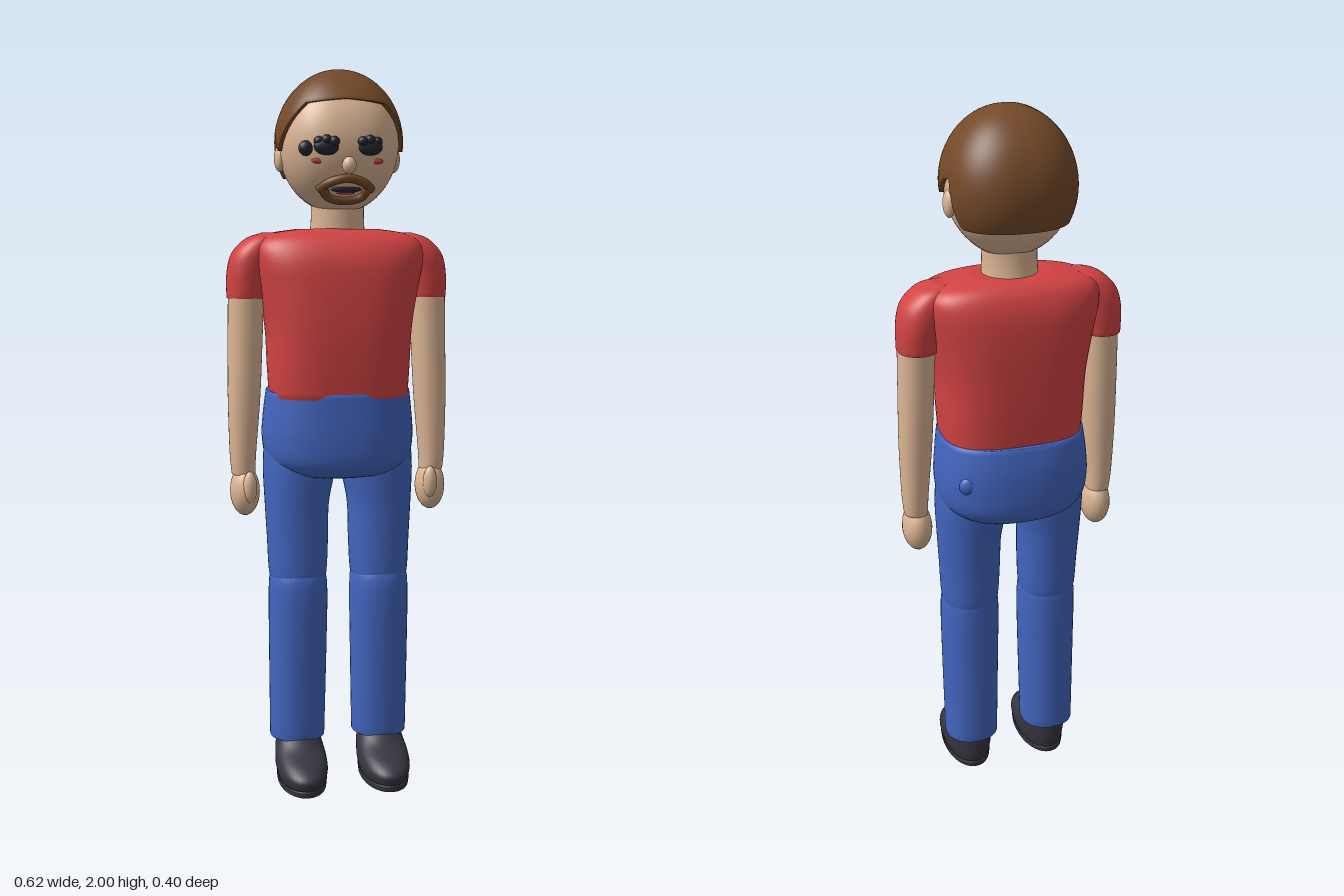
import * as THREE from 'three';

const mat = (name, color) => {
  const m = new THREE.MeshStandardMaterial({ color, side: THREE.DoubleSide });
  m.name = name;
  return m;
};

// Point on a rounded-square outline; angle 0 faces +z
const outline = (a, rx, rz, n) => {
  const s = Math.sin(a), c = Math.cos(a);
  return [rx * Math.sign(s) * Math.abs(s) ** (2 / n), rz * Math.sign(c) * Math.abs(c) ** (2 / n)];
};

// Surface from a grid of rows, each closed around the body, listed from bottom to top
function skinRows(rows) {
  const seg = rows[0].length, index = [];
  for (let j = 0; j < rows.length - 1; j++) {
    for (let i = 0; i < seg; i++) {
      const a = j * seg + i, b = j * seg + (i + 1) % seg;
      index.push(a, b, b + seg, a, b + seg, a + seg);
    }
  }
  const g = new THREE.BufferGeometry();
  g.setAttribute('position', new THREE.Float32BufferAttribute(rows.flat(2), 3));
  g.setIndex(index);
  g.computeVertexNormals();
  return g;
}

// Smooth loft through rings [y, centreX, centreZ, radiusX, radiusZ], with closed ends
function loft(rings, n = 2.2, seg = 40) {
  const centres = new THREE.CatmullRomCurve3(rings.map(r => new THREE.Vector3(r[1], r[0], r[2])), false, 'catmullrom');
  const radii = new THREE.CatmullRomCurve3(rings.map(r => new THREE.Vector3(r[3], r[4], 0)), false, 'catmullrom');
  const steps = (rings.length - 1) * 5, rows = [];
  const row = (t, k) => {
    const c = centres.getPoint(t), r = radii.getPoint(t);
    return Array.from({ length: seg }, (_, i) => {
      const [x, z] = outline(i / seg * Math.PI * 2, r.x * k, r.y * k, n);
      return [c.x + x, c.y, c.z + z];
    });
  };
  rows.push(row(0, 0), row(0, 0.97));
  for (let i = 0; i <= steps; i++) rows.push(row(i / steps, 1));
  rows.push(row(1, 0.97), row(1, 0));
  return skinRows(rows);
}

// Skull shape, optionally grown outward for the hair
const HEAD = { y: 1.8, z: -0.012, rx: 0.163, rz: 0.165, n: 2.4 };
const headScale = (y, grow) => Math.sqrt(Math.max(0, 1 - ((y - HEAD.y) / ((y > HEAD.y ? 0.188 : 0.186) + grow)) ** 2));
const headPoint = (a, y, grow = 0) => {
  const k = headScale(y, grow);
  const [x, z] = outline(a, (HEAD.rx + grow) * k, (HEAD.rz + grow) * k, HEAD.n);
  return [x, y, HEAD.z + z];
};
const onFace = (x, y, out = 0) => {
  const k = headScale(y, 0);
  const z = HEAD.rz * k * (1 - Math.abs(x / (HEAD.rx * k)) ** HEAD.n) ** (1 / HEAD.n);
  return new THREE.Vector3(x, y, HEAD.z + z + out);
};

// Hair edge height by angle from the front: fringe, sideburn, ear notch, nape
const EDGE = [[0, 1.91], [42, 1.9], [56, 1.865], [70, 1.82], [81, 1.78], [91, 1.825], [103, 1.835], [109, 1.75], [115, 1.71], [180, 1.71]];
function hairEdge(a) {
  const d = Math.abs(a > Math.PI ? a - 2 * Math.PI : a) * 180 / Math.PI;
  const i = Math.max(1, EDGE.findIndex(e => e[0] >= d - 1e-6));
  const [a0, y0] = EDGE[i - 1], [a1, y1] = EDGE[i];
  return y0 + (y1 - y0) * (d - a0) / (a1 - a0);
}

export function createModel() {
  const model = new THREE.Group();
  const skin = mat('skin', 0xdcb594), red = mat('shirt red', 0xd24343), blue = mat('trouser blue', 0x4265bf);
  const brown = mat('hair brown', 0x744928), dark = mat('shoe charcoal', 0x363540), black = mat('eye black', 0x23252e);
  const blush = mat('cheek red', 0xc8433f);

  const add = (name, geometry, material, parent = model) => {
    const m = new THREE.Mesh(geometry, material);
    m.name = name;
    parent.add(m);
    return m;
  };
  const ball = (name, p, r, material, parent = model) => {
    const m = add(name, new THREE.SphereGeometry(1, 24, 16), material, parent);
    m.position.set(...p);
    m.scale.set(...r);
    return m;
  };

  // Head and neck
  const SEG = 120;
  const around = f => Array.from({ length: SEG }, (_, i) => f(i / SEG * Math.PI * 2));
  const headRows = [];
  for (let j = 0; j <= 32; j++) {
    const y = 1.801 - 0.187 * Math.cos(j / 32 * Math.PI);
    headRows.push(around(a => headPoint(a, y)));
  }
  add('head', skinRows(headRows), skin);
  add('neck', loft([[1.53, 0, -0.03, 0.08, 0.075], [1.6, 0, -0.025, 0.074, 0.07], [1.68, 0, -0.025, 0.075, 0.07]], 2), skin);

  // Hair cap, with a rim turned in to the skull
  const hairRows = [around(a => headPoint(a, hairEdge(a), -0.004)), around(a => headPoint(a, hairEdge(a), 0.009))];
  for (let j = 24; j >= 0; j--) {
    const t = (j / 24) ** 2;
    hairRows.push(around(a => headPoint(a, 2 - (2 - hairEdge(a)) * t, 0.012)));
  }
  add('hair', skinRows(hairRows), brown);

  // Face
  ball('nose', [0, 1.737, 0.158], [0.019, 0.023, 0.02], skin);
  for (const s of [-1, 1]) {
    ball('ear', [s * 0.16, 1.762, -0.025], [0.016, 0.036, 0.026], skin);
    ball('eye', onFace(s * 0.058, 1.785).toArray(), [0.034, 0.022, 0.013], black);
    for (let i = -1; i <= 1; i++) {
      ball('eyelash', onFace(s * 0.058 + i * 0.02, 1.803 - Math.abs(i) * 0.004, 0.003).toArray(), [0.014, 0.013, 0.012], black);
    }
    ball('cheekBlush', onFace(s * 0.08, 1.749).toArray(), [0.017, 0.007, 0.004], blush);
  }
  ball('outerEyelash', onFace(-0.11, 1.782, 0.002).toArray(), [0.02, 0.02, 0.016], black);

  // Beard: a moustache arch, a chin strip and the mouth between
  const strand = pts => new THREE.CatmullRomCurve3(pts.map(p => onFace(p[0], p[1], 0.001)));
  add('moustache', new THREE.TubeGeometry(strand([[-0.072, 1.676], [-0.045, 1.694], [0, 1.705], [0.045, 1.694], [0.072, 1.676]]), 30, 0.012, 10), brown);
  add('beard', new THREE.TubeGeometry(strand([[-0.062, 1.68], [-0.045, 1.657], [0, 1.648], [0.045, 1.657], [0.062, 1.68]]), 30, 0.013, 10), brown);
  ball('mouth', onFace(0, 1.676).toArray(), [0.042, 0.009, 0.006], black);
  ball('lowerLip', onFace(0, 1.667, 0.002).toArray(), [0.026, 0.005, 0.006], blush);

  // Shirt and hips
  add('shirt', loft([
    [1.11, 0, -0.02, 0.194, 0.15], [1.2, 0, -0.02, 0.199, 0.157], [1.3, 0, -0.02, 0.204, 0.161],
    [1.4, 0, -0.022, 0.22, 0.16], [1.48, 0, -0.024, 0.236, 0.154], [1.53, 0, -0.028, 0.234, 0.136],
    [1.558, 0, -0.032, 0.195, 0.112], [1.572, 0, -0.034, 0.11, 0.085]], 2.9, 56), red);
  add('hips', loft([
    [0.882, 0, -0.03, 0.1, 0.1], [0.895, 0, -0.032, 0.16, 0.14], [0.93, 0, -0.033, 0.202, 0.163],
    [0.99, 0, -0.033, 0.214, 0.168], [1.06, 0, -0.032, 0.21, 0.166], [1.125, 0, -0.027, 0.202, 0.159]], 2.5, 56), blue);
  ball('pocketBulge', [0.15, 1.02, -0.152], [0.03, 0.028, 0.018], blue);

  // Limbs, mirrored left and right
  for (const s of [-1, 1]) {
    const limb = new THREE.Group();
    limb.name = s > 0 ? 'leftLimbs' : 'rightLimbs';
    model.add(limb);
    const part = (name, rings, material, n) => add(name, loft(rings.map(([y, x, ...r]) => [y, s * x, ...r]), n), material, limb);

    part('sleeve', [
      [1.383, 0.257, -0.03, 0.054, 0.066], [1.45, 0.251, -0.03, 0.059, 0.073], [1.505, 0.237, -0.028, 0.059, 0.073],
      [1.545, 0.212, -0.028, 0.045, 0.06], [1.562, 0.19, -0.03, 0.02, 0.03]], red);
    part('arm', [
      [0.89, 0.271, -0.014, 0.033, 0.04], [0.95, 0.272, -0.015, 0.037, 0.045], [1.1, 0.267, -0.018, 0.045, 0.052],
      [1.25, 0.262, -0.022, 0.048, 0.056], [1.42, 0.257, -0.025, 0.05, 0.058]], skin);
    ball('hand', [s * 0.268, 0.842, -0.01], [0.042, 0.071, 0.057], skin, limb);
    ball('thumb', [s * 0.258, 0.858, 0.036], [0.02, 0.045, 0.019], skin, limb);

    part('thigh', [
      [0.565, 0.118, -0.013, 0.07, 0.078], [0.6, 0.118, -0.014, 0.082, 0.087], [0.7, 0.118, -0.016, 0.087, 0.092],
      [0.8, 0.119, -0.019, 0.091, 0.098], [0.9, 0.112, -0.022, 0.102, 0.106], [0.98, 0.11, -0.025, 0.1, 0.106]], blue);
    part('shin', [
      [0.112, 0.121, -0.02, 0.079, 0.079], [0.25, 0.12, -0.016, 0.081, 0.083], [0.4, 0.119, -0.012, 0.083, 0.087],
      [0.54, 0.118, -0.01, 0.084, 0.09], [0.6, 0.118, -0.012, 0.078, 0.085], [0.64, 0.118, -0.014, 0.055, 0.06]], blue);

    part('sole', [[0, 0.12, 0.06, 0.068, 0.136], [0.018, 0.12, 0.06, 0.07, 0.138]], dark, 2.1);
    part('shoe', [
      [0.018, 0.12, 0.06, 0.067, 0.134], [0.045, 0.12, 0.06, 0.073, 0.138], [0.07, 0.12, 0.042, 0.072, 0.121],
      [0.095, 0.12, 0.008, 0.067, 0.085], [0.125, 0.12, -0.012, 0.058, 0.06]], dark, 2.1);
  }
  return model;
}
